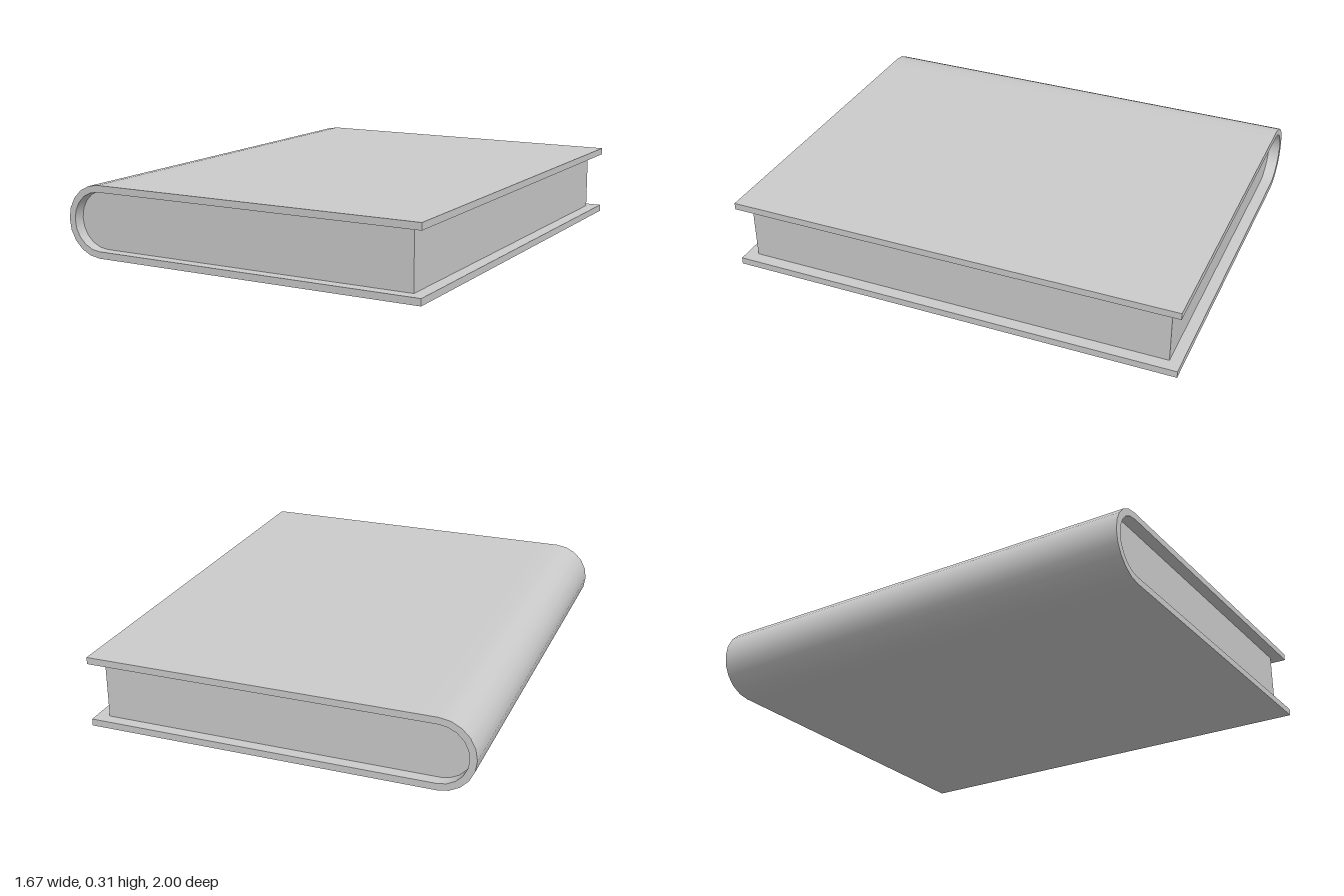
import * as THREE from 'three';
import { toCreasedNormals } from 'three/addons/utils/BufferGeometryUtils.js';

const MID = 0.1575;       // mid-height, also the outer spine radius
const BOARD = 0.03;       // cover thickness
const SPINE_X = -0.6775;  // centre of the rounded spine
const SEAM_X = -0.59;     // where the spine blends into the flat boards
const INNER = MID - BOARD;

// Extrude a profile along z, centred, keeping the rounded spine smooth
function extrude(name, shape, depth) {
  const flat = new THREE.ExtrudeGeometry(shape, { depth, bevelEnabled: false, curveSegments: 5 });
  flat.translate(0, 0, -depth / 2);
  const mesh = new THREE.Mesh(
    toCreasedNormals(flat, Math.PI / 5),
    new THREE.MeshStandardMaterial({ color: 0xcccccc })
  );
  mesh.name = name;
  return mesh;
}

// Trace bottom-to-top around the left half circle, from and to the fore edge
function traceLoop(shape, radius, endX) {
  shape.moveTo(endX, MID + radius);
  shape.lineTo(SEAM_X, MID + radius);
  shape.absarc(SPINE_X, MID, radius, Math.PI / 2, Math.PI * 1.5, false);
  shape.lineTo(SEAM_X, MID - radius);
  shape.lineTo(endX, MID - radius);
}

export function createModel() {
  const book = new THREE.Group();
  book.name = 'book';

  // Cover: two boards joined by a rounded spine
  const cover = new THREE.Shape();
  traceLoop(cover, MID, 0.835);
  cover.lineTo(0.835, BOARD);
  cover.lineTo(SEAM_X, BOARD);
  cover.absarc(SPINE_X, MID, INNER, Math.PI * 1.5, Math.PI / 2, true);
  cover.lineTo(SEAM_X, MID + INNER);
  cover.lineTo(0.835, MID + INNER);
  cover.closePath();
  book.add(extrude('cover', cover, 2));

  // Page block, set back from the cover on three edges
  const pages = new THREE.Shape();
  traceLoop(pages, INNER, 0.78);
  pages.closePath();
  book.add(extrude('pages', pages, 1.9));

  return book;
}
